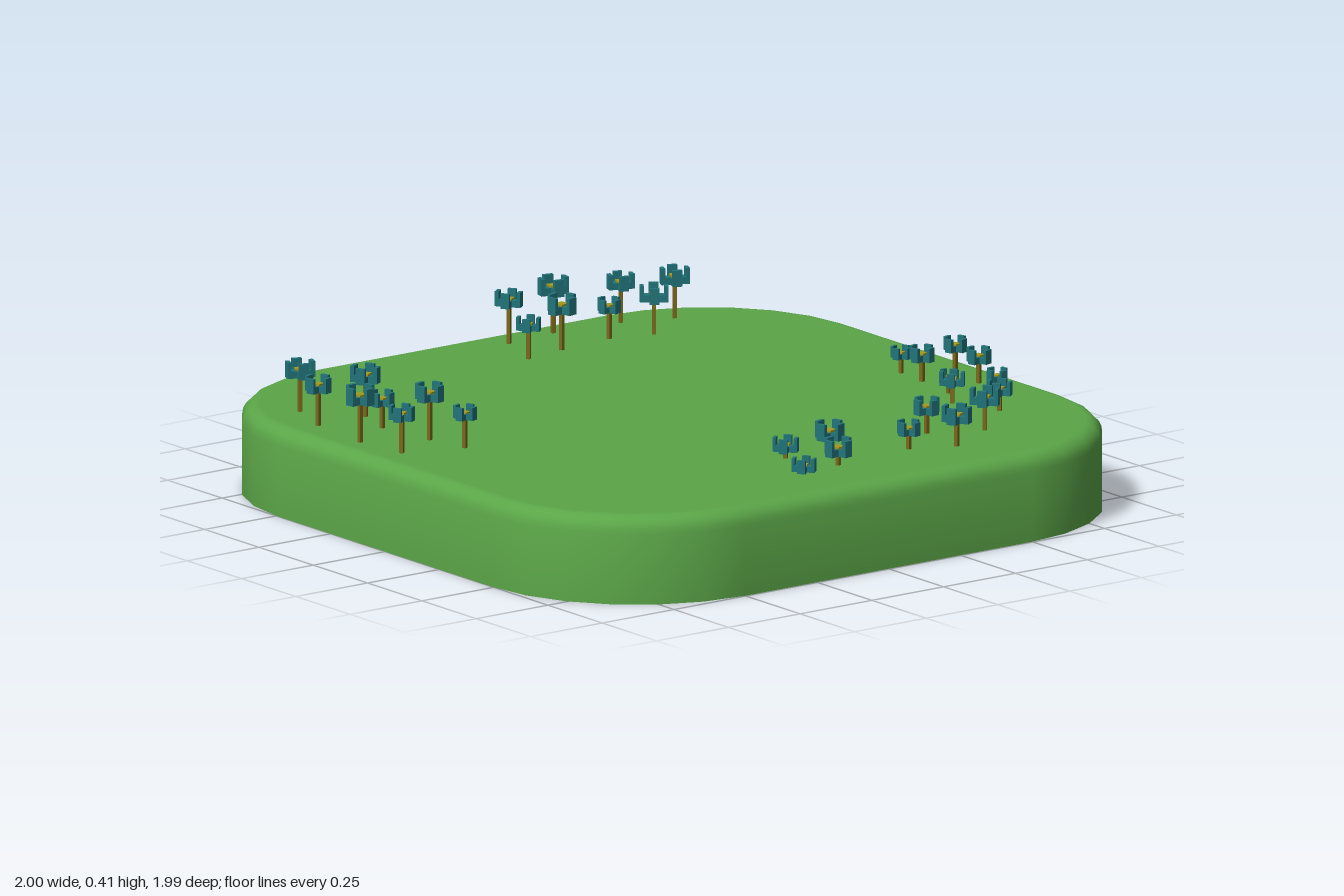
import * as THREE from 'three';

const mat = (name, color) => {
  const m = new THREE.MeshStandardMaterial({ color });
  m.name = name;
  return m;
};

// Rounded-square outline: position and outward direction per point
function outline(inset) {
  const pts = [];
  const r = 0.5 - inset;
  for (let q = 0; q < 4; q++) {
    const sx = q === 0 || q === 3 ? 1 : -1;
    const sz = q < 2 ? 1 : -1;
    for (let i = 0; i <= 6; i++) {
      const a = (q + i / 6) * Math.PI / 2;
      const c = Math.cos(a), s = Math.sin(a);
      pts.push([sx * 0.5 + r * c, sz * 0.497 + r * s, c, s]);
    }
  }
  return pts;
}

// Ground slab: wall, soft upper edge, flat top and flat underside
function slabGeometry() {
  const H = 0.25, R = 0.05;
  const pos = [], nor = [], idx = [];
  const ring = (inset, y, up, flat) => {
    const start = pos.length / 3;
    for (const [x, z, c, s] of outline(inset)) {
      pos.push(x, y, z);
      const k = Math.cos(up);
      nor.push(...(flat ? [0, flat, 0] : [c * k, Math.sin(up), s * k]));
    }
    return start;
  };
  const N = 28;
  const rings = [ring(0, 0, 0)];
  for (let i = 0; i <= 5; i++) {
    const a = i / 5 * Math.PI / 2;
    // the wall's upper normals lean up a little for a soft shoulder
    rings.push(ring(R * (1 - Math.cos(a)), H - R + R * Math.sin(a), Math.max(a, 0.16)));
  }
  for (let k = 0; k < rings.length - 1; k++) {
    for (let i = 0; i < N; i++) {
      const j = (i + 1) % N;
      const a = rings[k] + i, b = rings[k] + j, c = rings[k + 1] + i, d = rings[k + 1] + j;
      idx.push(a, c, b, b, c, d);
    }
  }
  for (const [inset, y, n] of [[R, H, 1], [0, 0, -1]]) {
    const s = ring(inset, y, 0, n);
    const centre = pos.length / 3;
    pos.push(0, y, 0);
    nor.push(0, n, 0);
    for (let i = 0; i < N; i++) {
      const a = s + i, b = s + (i + 1) % N;
      idx.push(centre, ...(n > 0 ? [b, a] : [a, b]));
    }
  }
  const g = new THREE.BufferGeometry();
  g.setAttribute('position', new THREE.Float32BufferAttribute(pos, 3));
  g.setAttribute('normal', new THREE.Float32BufferAttribute(nor, 3));
  g.setIndex(idx);
  return g;
}

// Flowers as x, z, top height, head width, turn in degrees
const FLOWERS = {
  backFlowers: [
    [0.09, -0.87, 0.40, 0.074, 35], [0.26, -0.89, 0.41, 0.084, -12], [0.48, -0.87, 0.39, 0.074, -20],
    [0.63, -0.82, 0.395, 0.08, -25], [0.03, -0.7, 0.37, 0.066, 40], [0.165, -0.725, 0.405, 0.084, 10],
    [0.345, -0.745, 0.365, 0.066, 12], [0.475, -0.71, 0.39, 0.08, -35],
  ],
  leftFlowers: [
    [-0.83, -0.615, 0.395, 0.08, -20], [-0.885, -0.46, 0.39, 0.074, 15], [-0.72, -0.46, 0.395, 0.08, 30],
    [-0.76, -0.33, 0.355, 0.068, 15], [-0.905, -0.24, 0.41, 0.084, 8], [-0.735, -0.145, 0.41, 0.08, 15],
    [-0.885, -0.075, 0.385, 0.07, 30], [-0.71, -0.015, 0.37, 0.064, 20],
  ],
  rightFlowers: [
    [0.76, 0.05, 0.325, 0.056, 20], [0.885, 0.135, 0.35, 0.066, 15], [0.75, 0.16, 0.35, 0.07, 15],
    [0.865, 0.27, 0.35, 0.07, 15], [0.73, 0.31, 0.315, 0.056, 2], [0.67, 0.405, 0.34, 0.068, 45],
    [0.8, 0.44, 0.335, 0.06, 5], [0.725, 0.55, 0.335, 0.068, 35],
  ],
  frontFlowers: [
    [-0.135, 0.785, 0.295, 0.066, 40], [-0.07, 0.615, 0.31, 0.07, 40], [0.0, 0.765, 0.325, 0.08, 10],
    [0.095, 0.6, 0.325, 0.082, 15], [0.265, 0.74, 0.33, 0.066, 12], [0.41, 0.63, 0.35, 0.074, 5],
    [0.39, 0.795, 0.365, 0.08, 30], [0.56, 0.7, 0.37, 0.08, 40],
  ],
};

export function createModel() {
  const grass = mat('grass green', 0x5ba648);
  const teal = mat('petal teal', 0x21747a);
  const stemMat = mat('stem olive', 0x7a6a1c);
  const gold = mat('flower centre gold', 0xa39a1e);
  const box = new THREE.BoxGeometry(1, 1, 1);

  const block = (name, m, size, at) => {
    const b = new THREE.Mesh(box, m);
    b.name = name;
    b.scale.set(...size);
    b.position.set(...at);
    return b;
  };

  const makeFlower = ([x, z, top, w, turn]) => {
    const flower = new THREE.Group();
    flower.name = 'flower';
    flower.position.set(x, 0, z);
    flower.rotation.y = THREE.MathUtils.degToRad(turn);
    const base = top - 0.58 * w;
    const stemH = base - 0.24;
    flower.add(block('stem', stemMat, [0.011, stemH, 0.011], [0, 0.24 + stemH / 2, 0]));
    flower.add(block('flowerCentre', gold, [0.34 * w, 0.32 * w, 0.34 * w], [0, base + 0.17 * w, 0]));
    // Four cupped petals: a flat arm and a raised tip
    for (let i = 0; i < 4; i++) {
      const petal = new THREE.Group();
      petal.name = 'petal';
      petal.rotation.y = i * Math.PI / 2;
      petal.add(block('petalArm', teal, [0.36 * w, 0.26 * w, 0.34 * w], [0.32 * w, base + 0.13 * w, 0]));
      petal.add(block('petalTip', teal, [0.14 * w, 0.32 * w, 0.34 * w], [0.43 * w, base + 0.42 * w, 0]));
      flower.add(petal);
    }
    return flower;
  };

  const model = new THREE.Group();
  model.name = 'flowerMeadow';
  const slab = new THREE.Mesh(slabGeometry(), grass);
  slab.name = 'ground';
  model.add(slab);
  for (const [name, list] of Object.entries(FLOWERS)) {
    const patch = new THREE.Group();
    patch.name = name;
    list.forEach((f) => patch.add(makeFlower(f)));
    model.add(patch);
  }
  return model;
}
